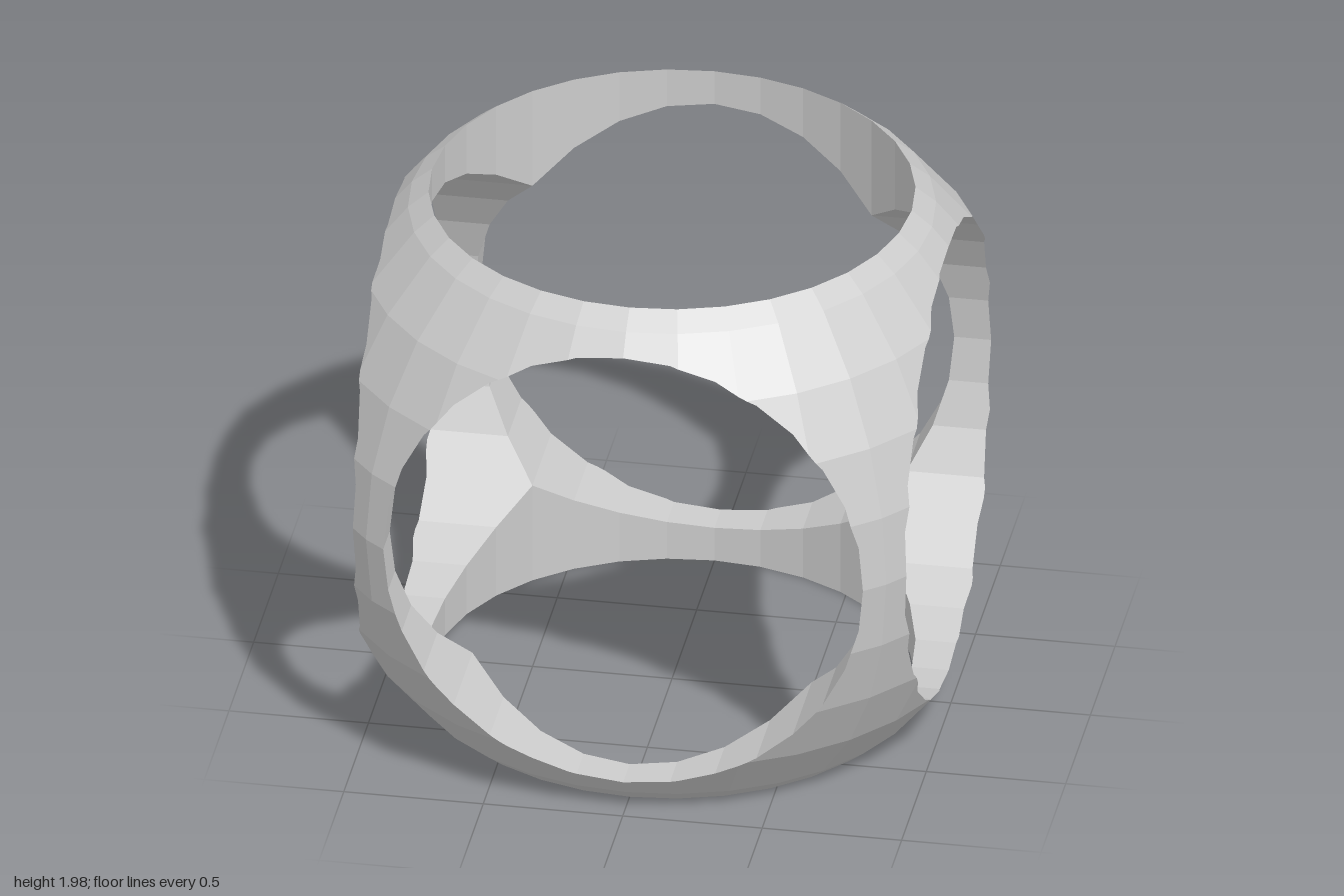
import * as THREE from 'three';

const R = 1.319;      // sphere radius
const BORE = 0.86;    // radius of the three round openings
const SIDES = 32;
const STEP = (2 * Math.PI) / SIDES;

// Outward-facing quad between steps j and j+1 around y, from ring a to ring b ([radius, height])
function ringQuad(j, a, b) {
  const p = ([r, y], k) => new THREE.Vector3(r * Math.cos(k * STEP), y, r * Math.sin(k * STEP));
  return [p(a, j), p(b, j), p(b, j + 1), p(a, j + 1)];
}

// Faceted sphere; the polar rows are left out because the vertical opening removes them
function sphereQuads() {
  const ring = (i) => [R * Math.cos(i * STEP), R * Math.sin(i * STEP)];
  const quads = [];
  for (let i = -5; i < 5; i++)
    for (let j = 0; j < SIDES; j++) quads.push(ringQuad(j, ring(i), ring(i + 1)));
  return quads;
}

// Faceted tube wall along y (0), z (1) or x (2), by cycling the coordinates
function boreQuads(axis) {
  const quads = [];
  for (let j = 0; j < SIDES; j++) {
    const q = ringQuad(j, [BORE, -1.09], [BORE, 1.09]);
    for (let k = 0; k < axis; k++) q.forEach((p) => p.set(p.z, p.x, p.y));
    quads.push(q);
  }
  return quads;
}

const planesOf = (quads) =>
  quads.map((q) => new THREE.Plane().setFromCoplanarPoints(q[0], q[1], q[2]));

// Cut a convex polygon by a plane into the parts behind and in front of it
function split(poly, plane) {
  const behind = [], front = [];
  poly.forEach((p, i) => {
    const q = poly[(i + 1) % poly.length];
    const dp = plane.distanceToPoint(p), dq = plane.distanceToPoint(q);
    if (dp <= 1e-7) behind.push(p);
    if (dp >= -1e-7) front.push(p);
    if ((dp > 1e-7 && dq < -1e-7) || (dp < -1e-7 && dq > 1e-7)) {
      const m = p.clone().lerp(q, dp / (dp - dq));
      behind.push(m);
      front.push(m);
    }
  });
  return { behind, front };
}

// Part of a polygon inside a convex solid
function keepInside(poly, planes) {
  for (const plane of planes) {
    poly = split(poly, plane).behind;
    if (poly.length < 3) return [];
  }
  return [poly];
}

// Parts of a polygon outside a convex solid
function keepOutside(poly, planes) {
  const pieces = [];
  let rest = poly;
  for (const plane of planes) {
    const { behind, front } = split(rest, plane);
    if (behind.length < 3) return [poly];
    if (front.length > 2) pieces.push(front);
    rest = behind;
  }
  return pieces;
}

// Fan-triangulated, flat-shaded mesh
function polygonMesh(name, polys) {
  const points = [];
  for (const p of polys)
    for (let i = 1; i < p.length - 1; i++) points.push(p[0], p[i], p[i + 1]);
  const geometry = new THREE.BufferGeometry().setFromPoints(points);
  geometry.computeVertexNormals();
  const mesh = new THREE.Mesh(
    geometry,
    new THREE.MeshStandardMaterial({ color: 0xcccccc, flatShading: true })
  );
  mesh.name = name;
  return mesh;
}

export function createModel() {
  const group = new THREE.Group();
  group.name = 'piercedSphere';

  const sphere = sphereQuads();
  const spherePlanes = planesOf(sphere);
  const bores = [0, 1, 2].map(boreQuads);
  const borePlanes = bores.map(planesOf);

  // Outer skin: sphere facets minus the three openings
  let skin = sphere;
  for (const planes of borePlanes) skin = skin.flatMap((p) => keepOutside(p, planes));
  group.add(polygonMesh('outerShell', skin));

  // Opening walls: tube facets inside the sphere, minus the other two openings, facing inward
  ['verticalOpening', 'frontToBackOpening', 'sideToSideOpening'].forEach((name, axis) => {
    let wall = bores[axis].flatMap((p) => keepInside(p, spherePlanes));
    borePlanes.forEach((planes, other) => {
      if (other !== axis) wall = wall.flatMap((p) => keepOutside(p, planes));
    });
    group.add(polygonMesh(name, wall.map((p) => [...p].reverse())));
  });

  // Stand on the ground
  const box = new THREE.Box3().setFromObject(group);
  group.children.forEach((mesh) => mesh.geometry.translate(0, -box.min.y, 0));
  return group;
}
